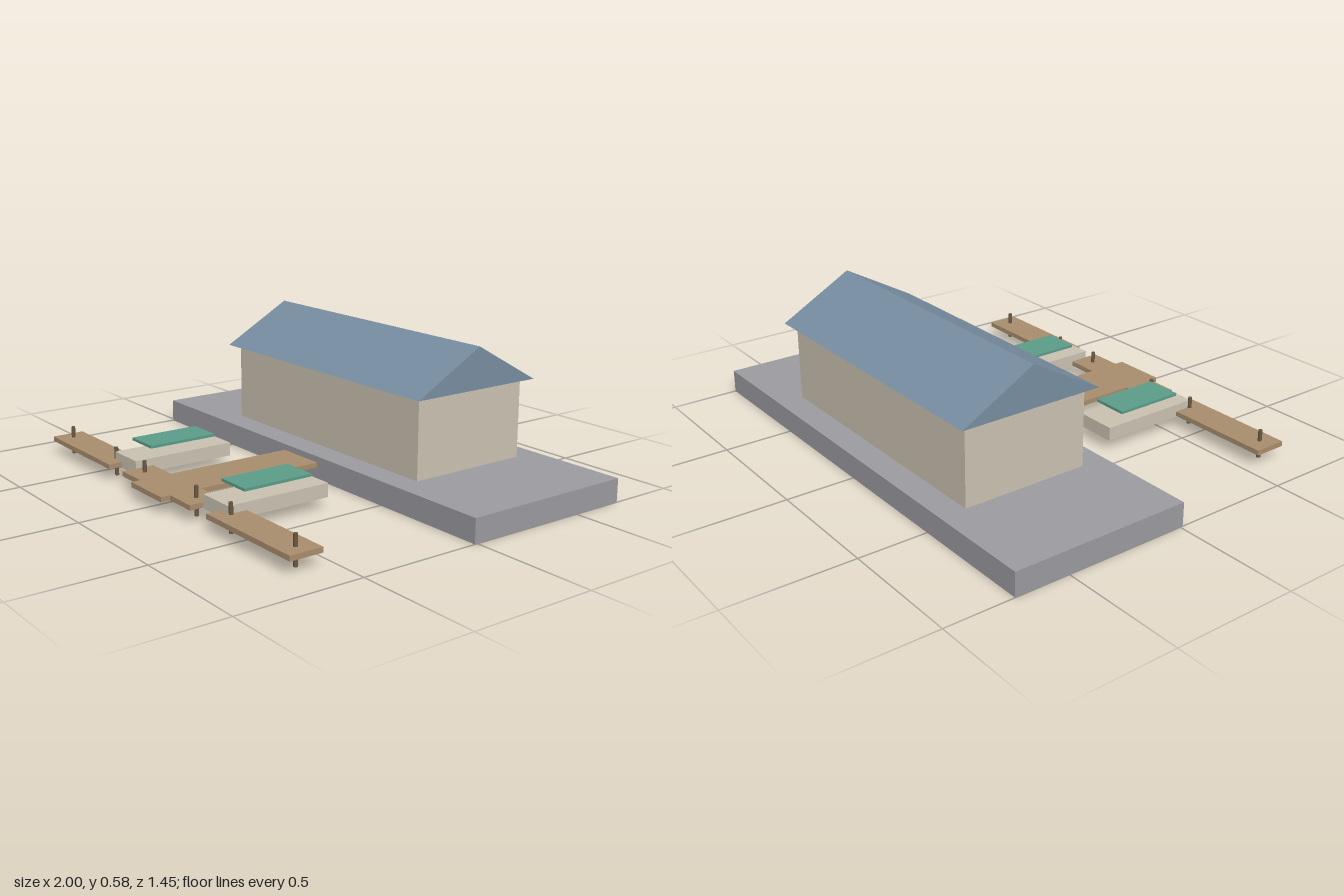
import * as THREE from 'three';

const mat = (name, color) => {
  const m = new THREE.MeshStandardMaterial({ color });
  m.name = name;
  return m;
};

export function createModel() {
  const concrete = mat('concrete grey', 0x9a9a9f);
  const cream = mat('cream', 0xc8c0b0);
  const slate = mat('slate blue', 0x778da0);
  const wood = mat('wood brown', 0xa88c6c);
  const darkWood = mat('dark wood', 0x6b5843);
  const green = mat('canopy green', 0x5a9c88);

  const group = new THREE.Group();
  group.name = 'boathouseDock';

  const add = (name, geometry, material) => {
    const mesh = new THREE.Mesh(geometry, material);
    mesh.name = name;
    group.add(mesh);
    return mesh;
  };

  // Box given by its extents on each axis
  const box = (name, material, [x0, x1], [y0, y1], [z0, z1]) =>
    add(name, new THREE.BoxGeometry(x1 - x0, y1 - y0, z1 - z0), material)
      .position.set((x0 + x1) / 2, (y0 + y1) / 2, (z0 + z1) / 2);

  // Quay and house
  box('quay', concrete, [-1, 1], [0, 0.095], [-0.723, 0.012]);
  box('houseWalls', cream, [-0.582, 0.582], [0.095, 0.414], [-0.617, -0.094]);

  // Gable roof with its ridge along x
  const gable = new THREE.Shape([
    new THREE.Vector2(-0.297, 0),
    new THREE.Vector2(0.297, 0),
    new THREE.Vector2(0, 0.165),
  ]);
  const roofGeometry = new THREE.ExtrudeGeometry(gable, { depth: 1.24, bevelEnabled: false });
  roofGeometry.translate(0, 0, -0.62).rotateY(Math.PI / 2);
  add('roof', roofGeometry, slate).position.set(0, 0.414, -0.355);

  // Jetty and its crossing platform
  const deck = [0.05, 0.07];
  box('jetty', wood, [-0.11, 0.11], deck, [0.012, 0.723]);

  for (const side of [-1, 1]) {
    const span = (a, b) => (side > 0 ? [a, b] : [-b, -a]);
    box('innerPlatform', wood, span(0.11, 0.248), deck, [0.55, 0.685]);
    box('outerPlatform', wood, span(0.357, 0.853), deck, [0.55, 0.685]);

    // Mooring posts
    for (const x of [0.188, 0.416, 0.796]) {
      add('mooringPost', new THREE.CylinderGeometry(0.008, 0.008, 0.116, 12), darkWood)
        .position.set(side * x, 0.058, 0.62);
    }

    // Moored boat with a canopy above the hull
    box('boatHull', cream, span(0.246, 0.411), [0.045, 0.1], [0.19, 0.627]);
    box('boatCanopy', green, span(0.253, 0.402), [0.136, 0.147], [0.26, 0.553]);
  }

  return group;
}
